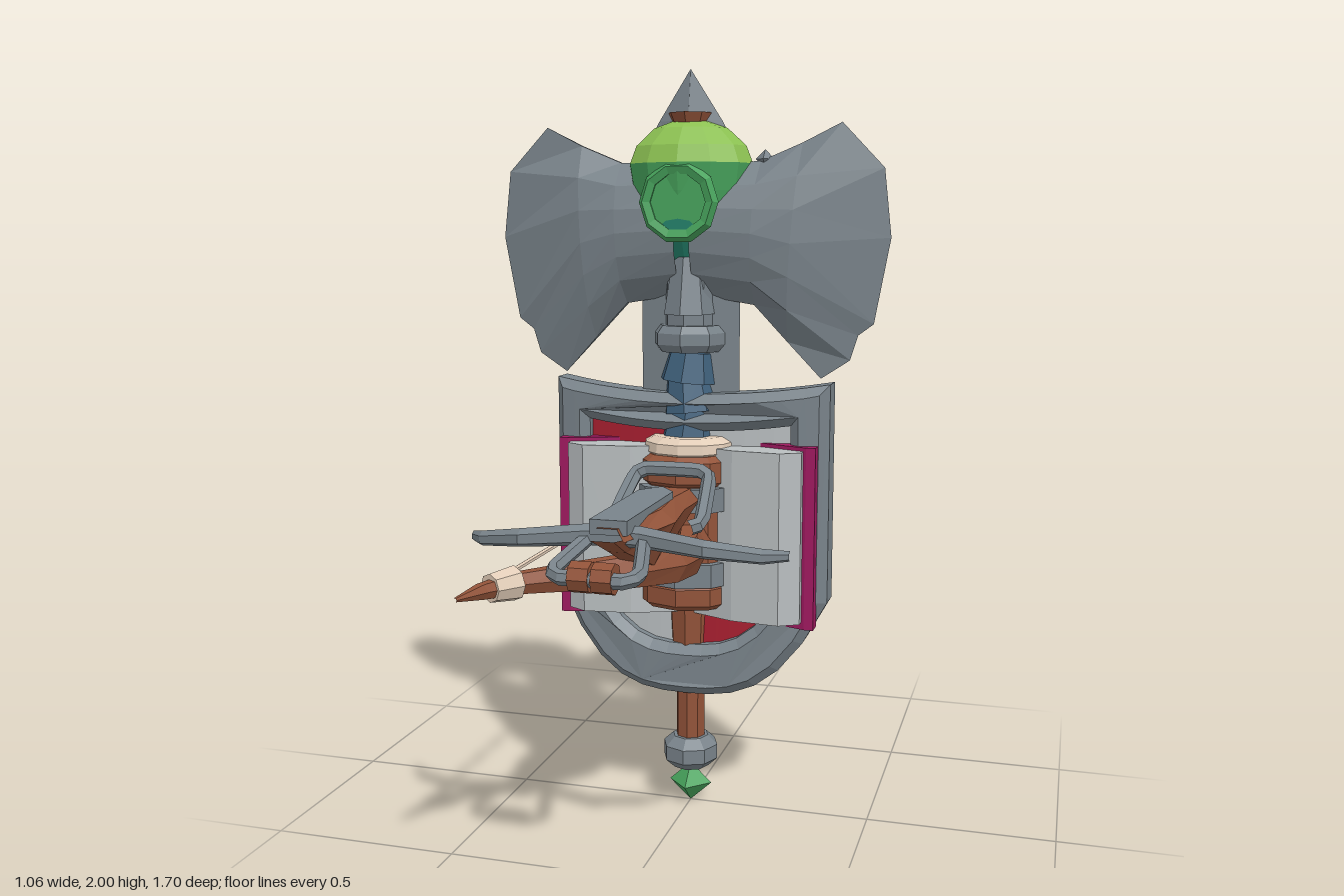
import * as THREE from 'three';

const paint = (name, color) => Object.assign(new THREE.MeshStandardMaterial({ color }), { name });
const M = {
  steel: paint('steel', 0x79838a), wood: paint('wood', 0x925339), lime: paint('lime', 0x8cc152),
  green: paint('green', 0x47a35c), teal: paint('teal', 0x23806a), blue: paint('blueWrap', 0x41627d),
  magenta: paint('magenta', 0xa01a60), red: paint('red', 0xa81f30), paper: paint('paper', 0xb9bec0),
  cream: paint('cream', 0xe2cdb8),
};

export function createModel() {
  const root = new THREE.Group();
  root.name = 'armoury';

  // Faceted mesh
  const add = (name, geo, mat, x = 0, y = 0, z = 0) => {
    const g = geo.index ? geo.toNonIndexed() : geo;
    g.deleteAttribute('normal');
    g.computeVertexNormals();
    const m = new THREE.Mesh(g, mat);
    m.name = name;
    m.position.set(x, y, z);
    root.add(m);
    return m;
  };
  const cyl = (name, mat, rTop, rBot, y0, y1, n = 10) =>
    add(name, new THREE.CylinderGeometry(rTop, rBot, y1 - y0, n), mat, 0, (y0 + y1) / 2, 0);
  const lathe = (name, mat, pts, n = 12) =>
    add(name, new THREE.LatheGeometry(pts.map(p => new THREE.Vector2(...p)), n), mat);
  // Horizontal outline [x, z] thickened downwards from the top height
  const slab = (name, mat, pts, top, depth) => {
    const s = new THREE.Shape(pts.map(p => new THREE.Vector2(...p)));
    return add(name, new THREE.ExtrudeGeometry(s, { depth, bevelEnabled: false }).rotateX(Math.PI / 2), mat, 0, top, 0);
  };
  // Skin over closed cross-sections
  const loft = rings => {
    const n = rings[0].length, index = [];
    for (let i = 0; i < rings.length - 1; i++)
      for (let j = 0; j < n; j++) {
        const a = i * n + j, b = i * n + (j + 1) % n;
        index.push(a, b, a + n, b, b + n, a + n);
      }
    const g = new THREE.BufferGeometry();
    g.setAttribute('position', new THREE.Float32BufferAttribute(rings.flat(2), 3));
    g.setIndex(index);
    return g;
  };
  // Six-sided limb running along z or x; points are [x, y, z, halfWidth, halfHeight]
  const limb = (pts, alongX) => loft(pts.map(([x, y, z, w, h]) => Array.from({ length: 6 }, (_, i) => {
    const c = Math.cos(i * Math.PI / 3), s = Math.sin(i * Math.PI / 3);
    return alongX ? [x, y + h * c, z + w * s] : [x + w * c, y + h * s, z];
  })));
  const rod = (name, mat, r, pts) => {
    const curve = new THREE.CatmullRomCurve3(pts.map(p => new THREE.Vector3(...p)), false, 'catmullrom', 0.15);
    return add(name, new THREE.TubeGeometry(curve, 24, r, 6), mat);
  };

  // Double axe blades
  const edge = [[.4, 1.86], [.51, 1.745], [.53, 1.57], [.49, 1.35], [.45, 1.32], [.43, 1.255], [.354, 1.205]];
  const column = (x0, y0, x1, y1, thick) => edge.map((_, i) => {
    const t = i / 6;
    return [x0 + (x1 - x0) * t, y0 + (y1 - y0) * t, .008 + thick * Math.sin(Math.PI * t) ** .6];
  });
  const closed = col => [...col, ...col.map(([x, y, z]) => [x, y, -z]).reverse()];
  const blade = loft([
    column(.02, 1.76, .02, 1.42, .09), column(.19, 1.765, .175, 1.395, .085),
    column(.3, 1.81, .265, 1.3, .07), edge.map(p => [...p, 0]),
  ].map(closed));
  add('axeBladeLeft', blade, M.steel);
  add('axeBladeRight', blade.clone(), M.steel).rotation.y = Math.PI;
  add('bladeStud', new THREE.OctahedronGeometry(.025), M.steel, .2, 1.77, 0);
  cyl('axeSocket', M.steel, .07, .105, 1.37, 1.52, 8).scale.x = .7;

  // Axe shaft, collar, wraps and pommel
  cyl('axeNeck', M.steel, .07, .07, 1.32, 1.5, 8);
  lathe('axeCollar', M.steel, [[.05, 1.27], [.085, 1.27], [.1, 1.29], [.1, 1.32], [.085, 1.34], [.05, 1.34]], 8);
  [[1.19, 1.27], [1.11, 1.2], [1.02, 1.12]].forEach(([a, b], i) => {
    cyl('blueWrap', M.blue, .062, .08, a, b, 8).rotation.z = i % 2 ? .1 : -.1;
  });
  cyl('handle', M.wood, .04, .04, .17, .6, 8);
  cyl('handleSleeve', M.wood, .062, .052, .42, .6, 8);
  lathe('pommel', M.steel, [[0, .105], [.05, .105], [.077, .13], [.077, .17], [.05, .195], [0, .195]], 8);
  add('pommelGem', new THREE.OctahedronGeometry(.06), M.green, 0, .055, 0).scale.y = .92;

  // Sword blade with a diamond section
  const swordSection = (y, w, t) => [[0, y, t], [w, y, 0], [0, y, -t], [-w, y, 0]];
  add('swordBlade', loft([swordSection(.95, .135, .028), swordSection(1.78, .135, .028),
    swordSection(1.87, .085, .025), swordSection(2, .001, .001)]), M.steel);

  // Potion flask, in bands of colour
  [['flaskBottom', M.teal, [[0, 1.49], [.065, 1.49], [.1, 1.55], [.14, 1.62]]],
    ['flaskMiddle', M.green, [[.14, 1.62], [.157, 1.69], [.168, 1.76]]],
    ['flaskTop', M.lime, [[.168, 1.76], [.15, 1.805], [.1, 1.85], [.05, 1.868], [0, 1.868]]],
  ].forEach(([name, mat, pts]) => { lathe(name, mat, pts).scale.z = .78; });
  cyl('cork', M.wood, .06, .042, 1.85, 1.89, 8);
  for (const s of [1, -1]) {
    add('flaskRing', new THREE.TorusGeometry(.088, .018, 5, 10), M.green, 0, 1.66, s * .115);
    add('flaskWindow', new THREE.CylinderGeometry(.08, .08, .03, 10).rotateX(Math.PI / 2), M.green, 0, 1.66, s * .105);
    add('flaskLiquid', new THREE.CylinderGeometry(.045, .04, .008, 8).rotateX(Math.PI / 2).scale(1, .4, 1),
      M.teal, 0, 1.6, s * .119);
  }

  // Shield, bowed so that its centre stands forward
  const bow = g => {
    const p = g.attributes.position;
    for (let i = 0; i < p.count; i++) p.setZ(i, p.getZ(i) - .05 * (p.getX(i) / .38) ** 2);
    return g;
  };
  const low = (x, w, y0, rise) => y0 + rise * Math.abs(x / w) ** 3;
  const plate = (x0, x1, z0, z1, top, bottom) => {
    const g = new THREE.BoxGeometry(1, 1, 1, 8, 1, 1), p = g.attributes.position;
    for (let i = 0; i < p.count; i++) {
      const x = x0 + (x1 - x0) * (p.getX(i) + .5);
      p.setXYZ(i, x, p.getY(i) > 0 ? top(x) : bottom(x), p.getZ(i) > 0 ? z1 : z0);
    }
    return bow(g);
  };
  const outline = (w, top, dip, y0, rise) => {
    const pts = [];
    for (let i = -6; i <= 6; i++) pts.push(new THREE.Vector2(w * i / 6, low(w * i / 6, w, y0, rise)));
    for (let i = 6; i >= -6; i--) pts.push(new THREE.Vector2(w * i / 6, top + dip * (i / 6) ** 2));
    return pts;
  };
  const rim = new THREE.Shape(outline(.38, 1.16, .03, .33, .27));
  rim.holes.push(new THREE.Path(outline(.28, 1.06, .02, .47, .2)));
  add('shieldRim', bow(new THREE.ExtrudeGeometry(rim, {
    depth: .07, bevelSize: .025, bevelOffset: -.025, bevelThickness: .025, bevelSegments: 1,
  })), M.steel, 0, 0, -.02);
  add('shieldBack', plate(-.36, .36, -.03, .02, x => 1.14 + .03 * (x / .38) ** 2, x => low(x, .36, .35, .25)), M.steel);
  for (const s of [1, -1]) {
    const x0 = s > 0 ? 0 : -.31, x1 = s > 0 ? .31 : 0;
    add('shieldUpperField', plate(x0, x1, .02, .028, () => 1.08, () => .78), s > 0 ? M.paper : M.red);
    add('shieldLowerField', plate(x0, x1, .02, .028, () => .78, x => low(x, .31, .44, .2)), s > 0 ? M.red : M.paper);
    // Shield straps
    for (const y of [.94, .73])
      add('shieldStrap', new THREE.CylinderGeometry(.035, .035, .09, 6), M.steel, s * .135, y, -.05);
    // Open book, one half on each side
    slab('bookCover', M.magenta, [[0, -.105], [.04, -.105], [.355, .02], [.355, .065], [.33, .065], [0, -.06]]
      .map(([x, z]) => [s * x, z]), 1.03, .49);
    slab('bookPages', M.paper, [[0, -.06], [.322, .062], [.322, .085], [.27, .115], [.14, .1], [0, .04]]
      .map(([x, z]) => [s * x, z]), 1.02, .46);
  }

  // Banded mug with foam and a tap knob
  lathe('mugBody', M.wood, [[0, .585], [.13, .585], [.148, .6], [.148, .645], [.135, .66], [.132, .92],
    [.145, .93], [.145, .985], [.125, 1.0], [0, 1.0]], 10);
  cyl('mugBandLower', M.steel, .155, .155, .652, .715, 10);
  cyl('mugBandUpper', M.steel, .155, .155, .855, .918, 10);
  lathe('foam', M.cream, [[0, .99], [.11, .99], [.128, 1.005], [.125, 1.03], [.1, 1.045], [0, 1.045]], 12);
  add('mugKnob', new THREE.IcosahedronGeometry(.045, 1), M.wood, -.02, .72, -.185);

  // Recurved bow with grips and string
  const half = [[-.3, .785, .85, .005, .005], [-.275, .785, .77, .02, .02], [-.23, .785, .68, .032, .028],
    [-.13, .782, .58, .04, .037], [-.02, .78, .48, .045, .046], [.05, .775, .37, .045, .052],
    [.065, .772, .25, .045, .056], [.04, .775, .15, .045, .052]];
  add('bow', limb([...half.map(([x, y, z, w, h]) => [x, y, -z, w, h]), ...[...half].reverse()]), M.wood);
  for (const s of [1, -1]) {
    const wrap = add('bowWrap', new THREE.CylinderGeometry(.034, .042, .07, 8).rotateX(s * Math.PI / 2),
      M.cream, -.25, .785, s * .705);
    wrap.rotation.y = -s * .5;
  }
  rod('bowString', M.cream, .007, [[-.28, .785, -.7], [-.28, .785, 0], [-.28, .785, .7]]);

  // Crossbow stock and rail
  const stock = [[.13, .06, .92, .86], [.3, .07, .93, .8], [.45, .09, .93, .79], [.62, .055, .93, .86], [.69, .04, .93, .9]];
  add('crossbowStock', loft(stock.map(([z, w, t, b]) => [[w, t - .03, z], [w * .6, t, z], [-w * .6, t, z],
    [-w, t - .03, z], [-w * .4, b, z], [w * .4, b, z]])), M.wood);
  slab('crossbowRail', M.steel, [[0, .26], [.045, .32], [.045, .68], [-.045, .68], [-.045, .32]], .948, .035);
  // Crossbow limbs, lever, stirrup and roller nuts
  const arm = [[.39, .86, .55, .012, .012], [.34, .87, .61, .022, .018], [.22, .89, .66, .026, .022], [.06, .9, .625, .026, .026]];
  add('crossbowLimbs', limb([...arm.map(([x, ...r]) => [-x, ...r]), ...[...arm].reverse()], true), M.steel);
  rod('crossbowLever', M.steel, .02, [[-.09, .86, .33], [-.115, .87, .31], [-.1, .96, .18], [-.07, .975, .165],
    [.07, .975, .165], [.1, .96, .18], [.115, .87, .31], [.09, .86, .33]]);
  rod('crossbowStirrup', M.steel, .018, [[-.06, .9, .6], [-.1, .85, .76], [-.08, .84, .795], [.08, .84, .795],
    [.1, .85, .76], [.06, .9, .6]]);
  for (const s of [1, -1])
    add('stirrupGrip', new THREE.CylinderGeometry(.036, .036, .048, 8).rotateZ(Math.PI / 2), M.wood, s * .027, .84, .78);

  return root;
}
